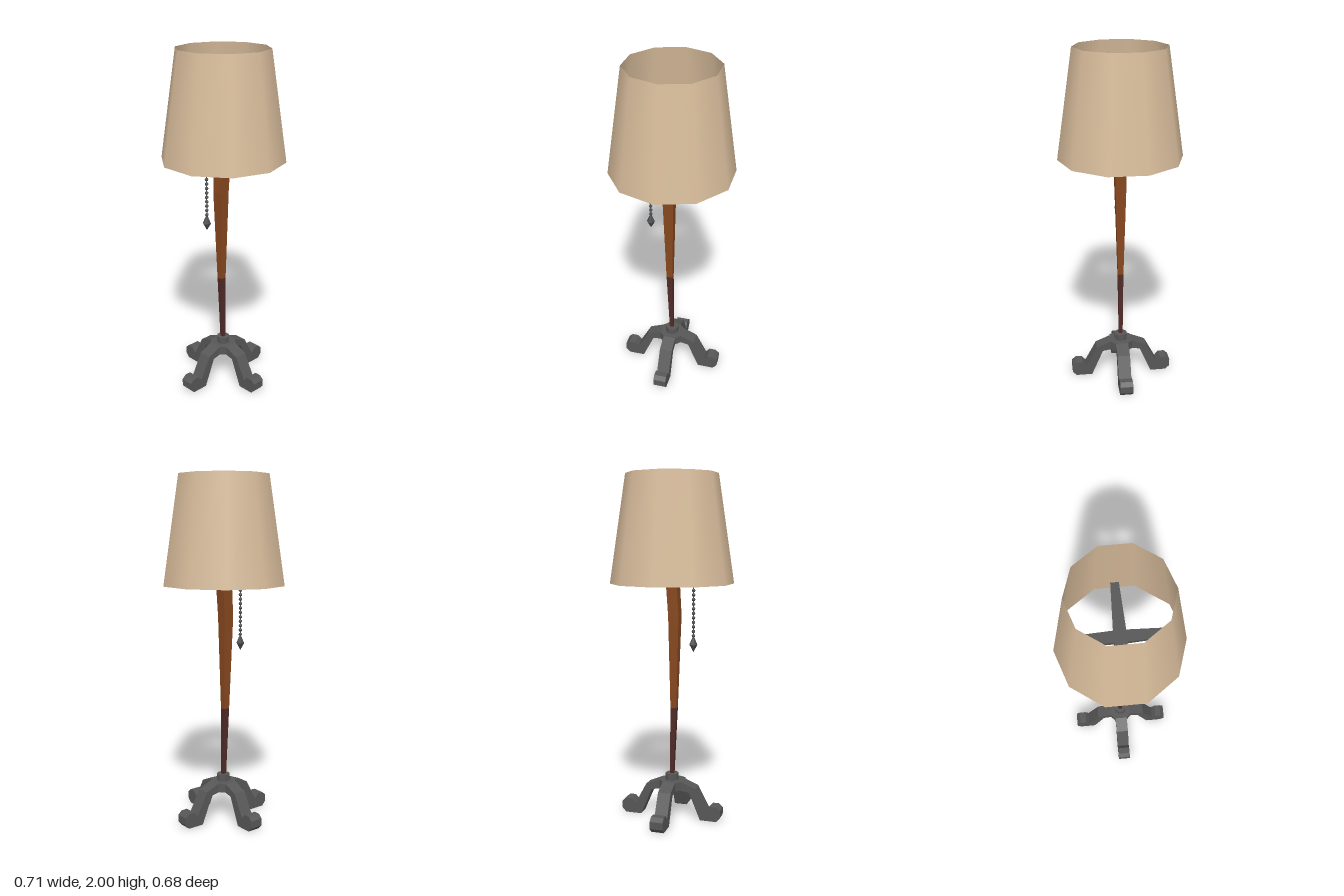
import * as THREE from 'three';

const mat = (name, color, extra = {}) => {
  const m = new THREE.MeshStandardMaterial({ color, ...extra });
  m.name = name;
  return m;
};

export function createModel() {
  const iron = mat('iron', 0x575757, { flatShading: true });
  const chainMetal = mat('chainMetal', 0x4a4d50, { flatShading: true });
  const wood = mat('wood', 0x87481f, { flatShading: true });
  const darkWood = mat('darkWood', 0x502b27, { flatShading: true });
  const fabric = mat('fabric', 0xd9bd9c, { side: THREE.DoubleSide });

  const lamp = new THREE.Group();
  lamp.name = 'floorLamp';
  const add = (name, geometry, material, parent = lamp) => {
    const mesh = new THREE.Mesh(geometry, material);
    mesh.name = name;
    parent.add(mesh);
    return mesh;
  };
  const shapeOf = pts => new THREE.Shape(pts.map(p => new THREE.Vector2(...p)));

  // Shade: open ten-sided cone with a corner on the x axis
  const shade = add('shade', new THREE.CylinderGeometry(0.262, 0.355, 0.615, 10, 1, true, Math.PI / 2), fabric);
  shade.position.y = 1.6925;

  // Post: bent square column, each section is [y, zCentre, half width x, half width z]
  const post = (name, sections, material) => {
    for (let i = 0; i < sections.length - 1; i++) {
      const lo = sections[i], hi = sections[i + 1];
      const g = new THREE.BoxGeometry(2, 1, 2);
      const p = g.attributes.position;
      for (let k = 0; k < p.count; k++) {
        const [y, z, hx, hz] = p.getY(k) > 0 ? hi : lo;
        p.setXYZ(k, p.getX(k) * hx, y, z + p.getZ(k) * hz);
      }
      g.computeVertexNormals();
      add(name, g, material);
    }
  };
  post('lowerPost', [[0.25, 0.001, 0.011, 0.011], [0.66, 0.013, 0.016, 0.018]], darkWood);
  post('upperPost', [[0.66, 0.013, 0.016, 0.018], [1.2, 0.017, 0.031, 0.031],
    [1.39, 0.005, 0.033, 0.032], [1.47, 0.0, 0.033, 0.032]], wood);

  // Base hub with chamfered corners, and a collar round the post
  const a = 0.067, b = 0.038;
  const hubGeo = new THREE.ExtrudeGeometry(
    shapeOf([[a, -b], [a, b], [b, a], [-b, a], [-a, b], [-a, -b], [-b, -a], [b, -a]]),
    { depth: 0.053, bevelEnabled: false });
  hubGeo.rotateX(-Math.PI / 2);
  add('hub', hubGeo, iron).position.y = 0.17;
  const collar = add('collar', new THREE.CylinderGeometry(0.039, 0.039, 0.045, 8), iron);
  collar.rotation.y = Math.PI / 8;
  collar.position.y = 0.24;

  // Four legs with curled toes, and four tapered arms that carry the shade
  const legGeo = new THREE.ExtrudeGeometry(shapeOf([
    [0.06, 0.17], [0.115, 0.16], [0.183, 0], [0.28, 0], [0.303, 0.025], [0.303, 0.067],
    [0.28, 0.088], [0.243, 0.088], [0.219, 0.06], [0.152, 0.187], [0.066, 0.223], [0.06, 0.223],
  ]), { depth: 0.076, bevelEnabled: false });
  legGeo.translate(0, 0, -0.038);

  const armGeo = new THREE.BoxGeometry(0.31, 1, 2);
  armGeo.translate(0.155, 0, 0);
  const ap = armGeo.attributes.position;
  for (let k = 0; k < ap.count; k++) {
    const end = ap.getX(k) > 0.1, top = ap.getY(k) > 0;
    const half = (end ? 0.023 : 0.036) * (top ? 1 : 0.7);
    ap.setXYZ(k, ap.getX(k), top ? 1.5 : end ? 1.47 : 1.45, ap.getZ(k) * half);
  }
  armGeo.computeVertexNormals();

  for (let i = 0; i < 4; i++) {
    add('leg', legGeo, iron).rotation.y = i * Math.PI / 2;
    add('shadeArm', armGeo, iron).rotation.y = i * Math.PI / 2;
  }

  // Pull chain: beads on a thin cord, ending in a pointed weight
  const chain = new THREE.Group();
  chain.name = 'pullChain';
  chain.position.z = 0.128;
  lamp.add(chain);
  const beadGeo = new THREE.SphereGeometry(0.0105, 6, 4);
  for (let y = 1.088; y < 1.46; y += 0.026) add('bead', beadGeo, chainMetal, chain).position.y = y;
  add('cord', new THREE.CylinderGeometry(0.003, 0.003, 0.4, 5), chainMetal, chain).position.y = 1.265;
  add('weight', new THREE.LatheGeometry(
    [[0, 0.995], [0.024, 1.037], [0.008, 1.075], [0, 1.078]].map(p => new THREE.Vector2(...p)), 6),
  chainMetal, chain);

  return lamp;
}
